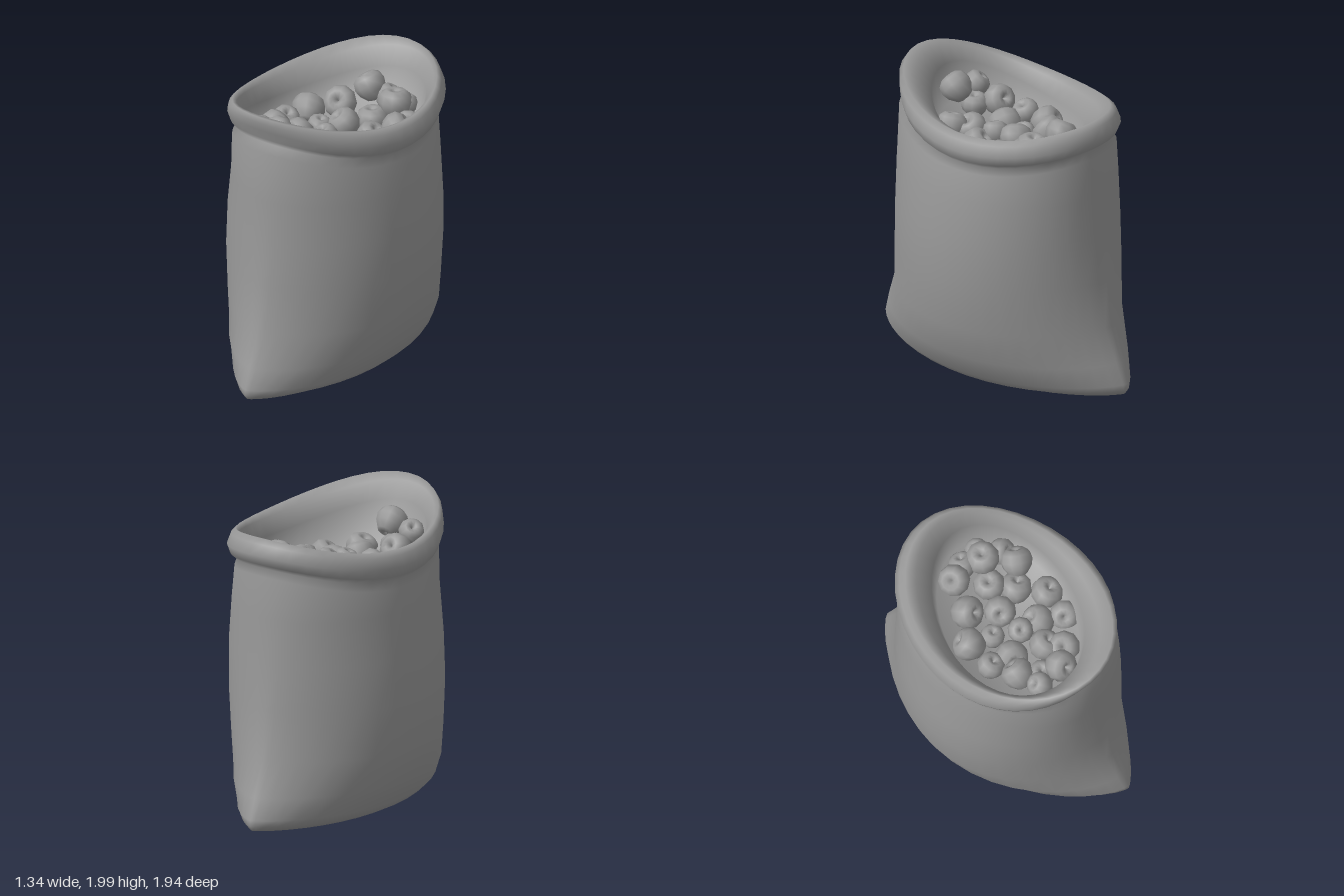
import * as THREE from 'three';

const grey = new THREE.MeshStandardMaterial({ color: 0x999999 });
grey.name = 'grey';

const SEG = 40;

// Height of the rolled rim: a saddle, highest at the front and back ends, a little lower on the right
const rimHeight = (s, k) => 1.82 + 0.14 * s * s + 0.035 * s + 0.015 * k;

// Body rings: half width, half length, height, pointedness (1 = lens, 0.5 = ellipse), lift of the end corners, sideways shift
const BODY = [
  [0.0, 0.0, 0.005, 0.8, 0, 0], [0.25, 0.75, 0.005, 0.78, 0.01, 0], [0.37, 0.945, 0.015, 0.76, 0.02, -0.02],
  [0.44, 0.968, 0.045, 0.75, 0.025, -0.01], [0.5, 0.967, 0.1, 0.74, 0.01, -0.01], [0.58, 0.92, 0.25, 0.71, 0, -0.012],
  [0.643, 0.835, 0.48, 0.68, 0, -0.01], [0.668, 0.8, 0.8, 0.62, 0, -0.005], [0.657, 0.775, 1.1, 0.56, 0, 0.004],
  [0.617, 0.765, 1.4, 0.52, 0, 0.01],
];

// Rim rings: half width, half length, height relative to rim, sideways skew, forward shift of the ends
const RIM = [
  [0.59, 0.757, -0.25, 0.01, 0], [0.567, 0.722, -0.2, 0.03, -0.012], [0.605, 0.75, -0.165, 0.04, -0.025],
  [0.624, 0.773, -0.1, 0.04, -0.03], [0.595, 0.772, -0.03, 0.04, 0], [0.56, 0.745, 0, 0.05, 0.01],
  [0.51, 0.69, -0.03, 0.12, 0], [0.455, 0.6, -0.13, 0.2, 0],
];

// The sack is one skin: underside, body, rolled rim, inner wall and inner floor
function sackGeometry() {
  const rings = [
    ...BODY.map(([a, c, y, q, lift, side]) => ({ a, c, q, side, skew: 0, shift: 0, y: (s) => y + lift * s * s })),
    ...RIM.map(([a, c, dy, skew, shift]) => ({ a, c, q: 0.5, side: 0, skew, shift, y: (s, k) => rimHeight(s, k) + dy })),
    { a: 0.42, c: 0.56, q: 0.5, side: 0, skew: 0.2, shift: 0, y: (s) => 1.5 + 0.1 * s * s },
    { a: 0, c: 0, q: 0.5, side: 0, skew: 0.2, shift: 0, y: () => 1.48 },
  ];
  const pos = [], index = [];
  rings.forEach((r, i) => {
    for (let j = 0; j < SEG; j++) {
      const t = (j / SEG) * Math.PI * 2;
      const s = Math.sin(t), k = Math.cos(t);
      const z = r.c * s;
      const x = r.a * Math.sign(k) * Math.pow(Math.abs(k), 2 * r.q);
      pos.push(x - r.skew * z + r.side * k * k, r.y(s, k), z + r.shift * s * s);
      if (i === 0) continue;
      const n = (j + 1) % SEG, lo = (i - 1) * SEG, hi = i * SEG;
      index.push(lo + j, hi + j, lo + n, hi + j, hi + n, lo + n);
    }
  });
  const g = new THREE.BufferGeometry();
  g.setAttribute('position', new THREE.Float32BufferAttribute(pos, 3));
  g.setIndex(index);
  g.computeVertexNormals();
  return g;
}

// Apple of unit radius, dimpled at both ends and narrower below
function appleGeometry() {
  const profile = [[0, -0.68], [0.25, -0.86], [0.55, -0.75], [0.88, -0.3], [1, 0.15],
    [0.88, 0.62], [0.55, 0.86], [0.27, 0.82], [0.1, 0.6], [0, 0.45]];
  return new THREE.LatheGeometry(profile.map(([x, y]) => new THREE.Vector2(x, y)), 10);
}

// Apples: x, z, radius, drop below the top layer
const APPLES = [
  [-0.02, -0.41, 0.105, 0], [0.21, -0.36, 0.11, 0], [0.34, -0.19, 0.105, 0], [-0.13, -0.24, 0.11, 0],
  [0.02, -0.08, 0.105, 0], [-0.28, -0.09, 0.11, 0], [0.31, 0.07, 0.105, 0.06], [-0.32, 0.1, 0.09, 0],
  [0, 0.1, 0.085, 0.02], [0.27, 0.25, 0.1, 0.11], [-0.27, 0.29, 0.105, 0], [0.01, 0.28, 0.105, 0.09],
  [-0.09, 0.48, 0.105, 0], [-0.26, 0.46, 0.085, 0.02],
  [0.12, -0.24, 0.105, 0.05], [0.21, -0.1, 0.105, 0.05], [-0.14, -0.02, 0.08, 0.04], [-0.17, 0.15, 0.11, 0.05],
  [0.13, 0.15, 0.11, 0.08], [0.1, -0.44, 0.09, 0.07], [0.34, -0.32, 0.09, 0.07], [0.24, -0.43, 0.08, 0.07],
  [0.08, 0.39, 0.105, 0.13], [-0.17, 0.4, 0.09, 0.08],
];

export function createModel() {
  const model = new THREE.Group();
  model.name = 'sackOfApples';

  const sack = new THREE.Mesh(sackGeometry(), grey);
  sack.name = 'sack';
  model.add(sack);

  const apples = new THREE.Group();
  apples.name = 'apples';
  const shape = appleGeometry();
  APPLES.forEach(([x, z, r, drop], i) => {
    const apple = new THREE.Mesh(shape, grey);
    apple.name = 'apple' + (i + 1);
    apple.position.set(x, 1.585 + 0.7 * z * z - drop, z);
    apple.rotation.set(0.6 * Math.sin(i * 2.3), i * 1.7, 0.6 * Math.cos(i * 3.1));
    apple.scale.setScalar(r);
    apples.add(apple);
  });
  model.add(apples);
  return model;
}
